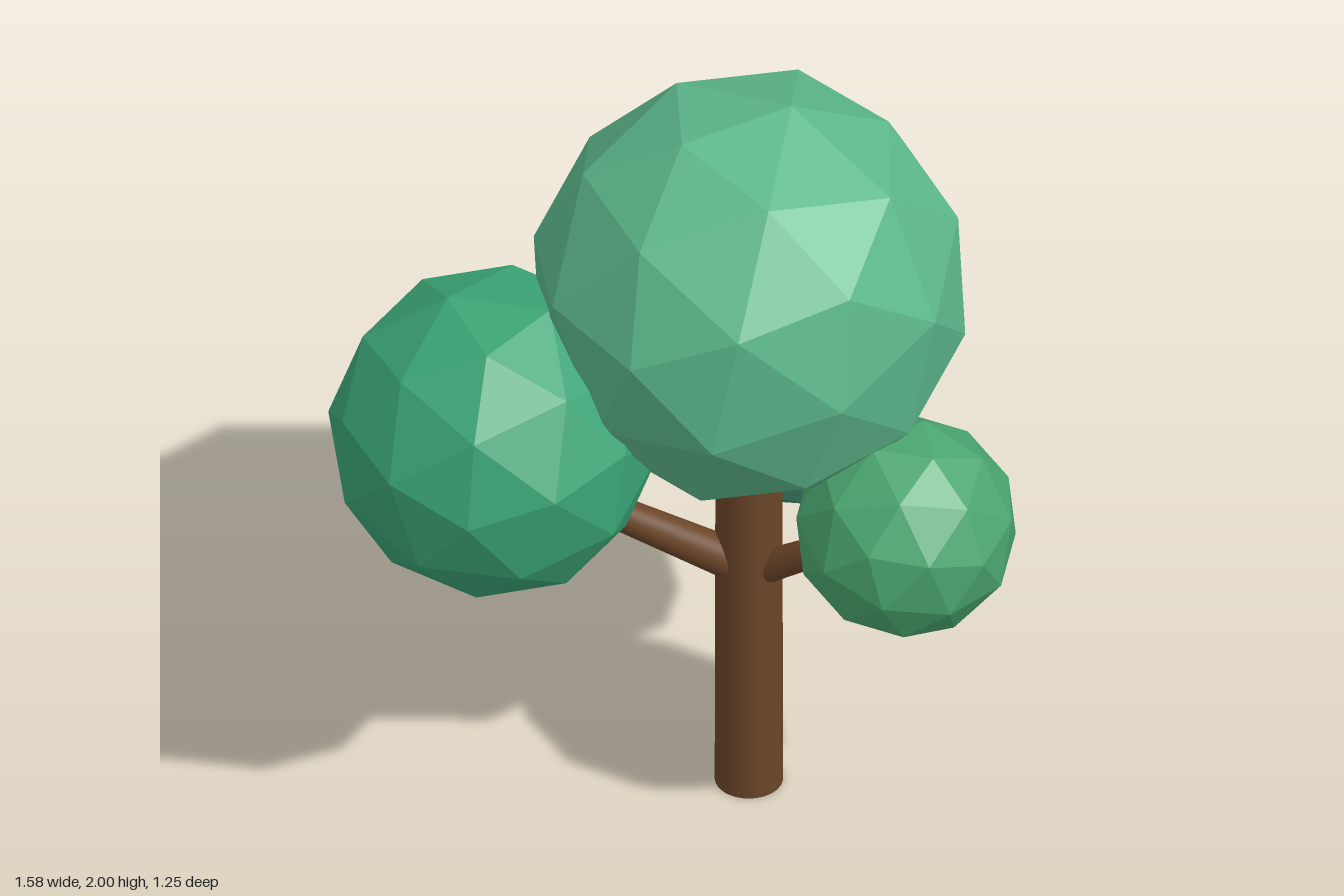
import * as THREE from 'three';

const bark = new THREE.MeshStandardMaterial({ color: 0x6b4528 });

// Faceted ball of leaves
function foliage(name, color, radius, position, rotation) {
  const mesh = new THREE.Mesh(
    new THREE.IcosahedronGeometry(radius, 1),
    new THREE.MeshStandardMaterial({ color, flatShading: true })
  );
  mesh.name = name;
  mesh.position.set(...position);
  mesh.rotation.set(...rotation);
  return mesh;
}

// Round, tapering piece of wood between two points
function limb(name, from, to, r0, r1) {
  const a = new THREE.Vector3(...from);
  const b = new THREE.Vector3(...to);
  const dir = b.clone().sub(a);
  const mesh = new THREE.Mesh(new THREE.CylinderGeometry(r1, r0, dir.length(), 32), bark);
  mesh.name = name;
  mesh.position.copy(a).add(b).multiplyScalar(0.5);
  mesh.quaternion.setFromUnitVectors(new THREE.Vector3(0, 1, 0), dir.normalize());
  return mesh;
}

export function createModel() {
  const tree = new THREE.Group();
  tree.name = 'tree';

  // Trunk and two branches
  tree.add(
    limb('trunk', [0.22, 0, 0.01], [0.22, 1.1, 0.01], 0.082, 0.08),
    limb('sideBranch', [0.21, 0.643, 0.01], [-0.25, 0.953, 0.01], 0.052, 0.036),
    limb('frontBranch', [0.22, 0.62, 0.01], [0.46, 0.89, 0.28], 0.042, 0.032)
  );

  // Crown
  tree.add(
    foliage('mainCrown', 0x5cb78b, 0.53, [0.222, 1.48, 0.008], [0.04, 0.2, -0.2]),
    foliage('sideCrown', 0x3aa475, 0.403, [-0.405, 1.147, 0.006], [0.345, 0.574, -0.38]),
    foliage('frontCrown', 0x4ba66f, 0.272, [0.525, 0.965, 0.36], [0.5, 0.8, 0.3]),
    foliage('backCrown', 0x478c72, 0.335, [0.365, 0.98, -0.295], [0.3, 0.5, 0.2])
  );
  return tree;
}
